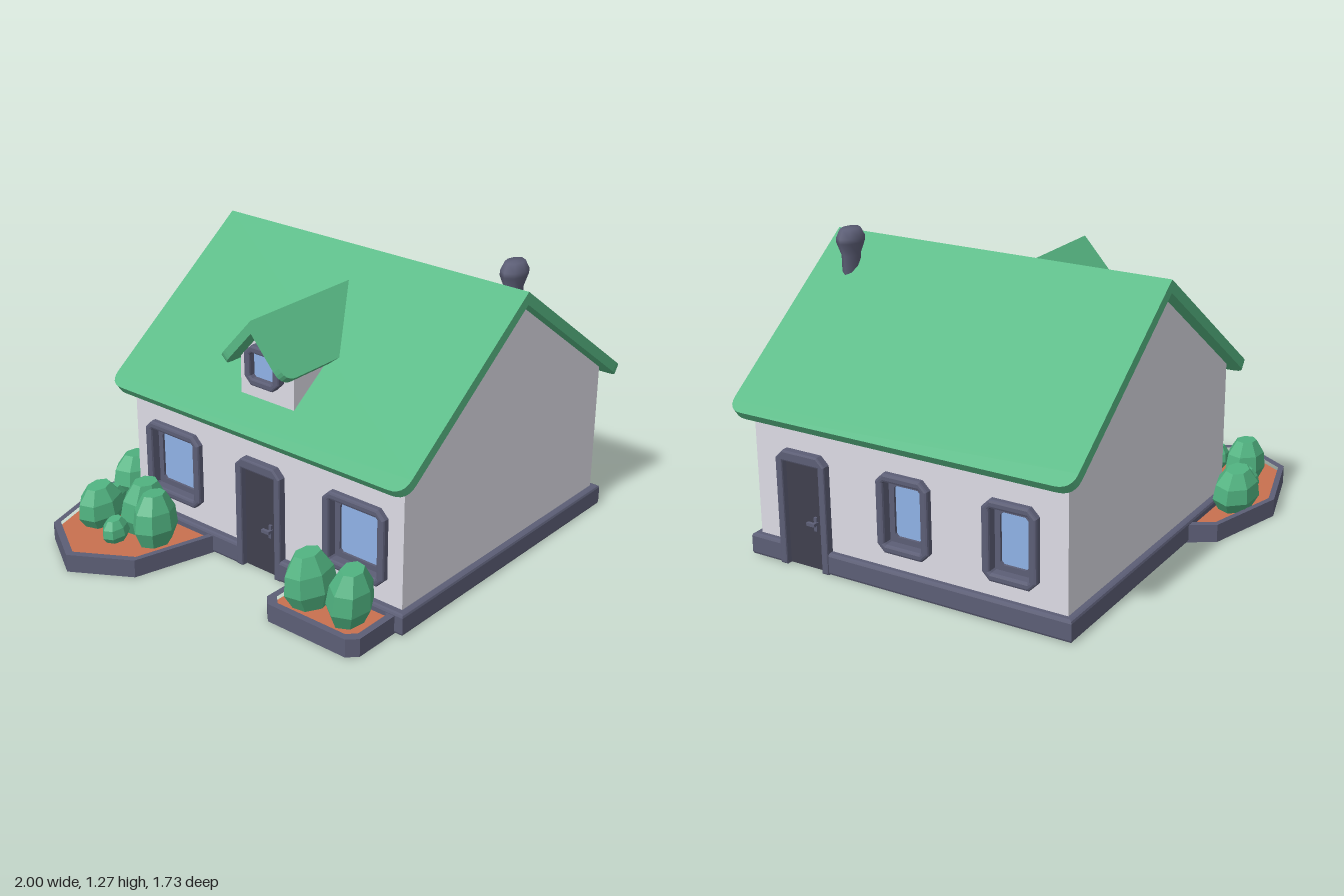
import * as THREE from 'three';

const mat = (name, color, extra = {}) => Object.assign(new THREE.MeshStandardMaterial({ color, ...extra }), { name });

export function createModel() {
  const wallM = mat('plaster', 0xdcdbe4);
  const roofM = mat('roofGreen', 0x58b985);
  const stoneM = mat('slate', 0x5c5e76);
  const doorM = mat('darkDoor', 0x40404e);
  const soilM = mat('soil', 0xc8704f);
  const glassM = mat('glass', 0x8fb2e6);
  const leafM = mat('leafGreen', 0x50b280, { flatShading: true });

  const house = new THREE.Group();
  house.name = 'house';
  const add = (parent, name, geo, material, x = 0, y = 0, z = 0) => {
    const m = new THREE.Mesh(geo, material);
    m.name = name;
    m.position.set(x, y, z);
    parent.add(m);
    return m;
  };
  const group = (parent, name, x = 0, y = 0, z = 0, ry = 0) => {
    const g = new THREE.Group();
    g.name = name;
    g.position.set(x, y, z);
    g.rotation.y = ry;
    parent.add(g);
    return g;
  };
  const poly = pts => new THREE.Shape(pts.map(p => new THREE.Vector2(...p)));
  const extrude = (shape, depth, bevel = 0) => new THREE.ExtrudeGeometry(shape, {
    depth: depth - bevel, bevelEnabled: bevel > 0, bevelSize: bevel, bevelThickness: bevel,
    bevelOffset: -bevel, bevelSegments: 2, curveSegments: 6,
  });
  // rectangle with cut corners, centred on (cx, cy)
  const cutRect = (w, h, c, cx = 0, cy = 0) => {
    const a = w / 2, b = h / 2;
    return [[-a + c, -b], [a - c, -b], [a, -b + c], [a, b - c], [a - c, b], [-a + c, b], [-a, b - c], [-a, -b + c]]
      .map(([x, y]) => [x + cx, y + cy]);
  };
  const ring = (outer, inner) => {
    const s = poly(outer);
    s.holes.push(poly(inner));
    return s;
  };

  // Gabled roof: two mitred slabs, ridge along z, ridge top at the origin
  function gableRoof(parent, name, run, rise, length, t, r) {
    const g = group(parent, name);
    const L = Math.hypot(run, rise), c = run / L, s = rise / L, h = length / 2;
    const shape = new THREE.Shape();
    shape.moveTo(0, -h);
    shape.lineTo(L - r, -h);
    shape.quadraticCurveTo(L, -h, L, -h + r);
    shape.lineTo(L, h - r);
    shape.quadraticCurveTo(L, h, L - r, h);
    shape.lineTo(0, h);
    const geo = extrude(shape, t);
    geo.translate(0, 0, -t);
    const p = geo.attributes.position;
    for (let i = 0; i < p.count; i++) {
      if (p.getX(i) < 1e-4) p.setX(i, -p.getZ(i) * s / c);
    }
    geo.applyMatrix4(new THREE.Matrix4().makeBasis(
      new THREE.Vector3(c, -s, 0), new THREE.Vector3(0, 0, -1), new THREE.Vector3(s, c, 0)));
    geo.computeVertexNormals();
    add(g, name + 'SlopeA', geo, roofM);
    add(g, name + 'SlopeB', geo, roofM).rotation.y = Math.PI;
    return g;
  }

  // Window facing +z: deep frame, sash and pane
  function addWindow(parent, x, y, w, h, b = 0.035, sash = 0.024) {
    const g = group(parent, 'window', x, y);
    const iw = w - 2 * b, ih = h - 2 * b;
    add(g, 'windowFrame', extrude(ring(cutRect(w, h, 0.035), cutRect(iw, ih, 0.006)), 0.085, 0.01), stoneM, 0, 0, -0.055);
    add(g, 'windowSash', extrude(ring(cutRect(iw, ih, 0.002), cutRect(iw - 2 * sash, ih - 2 * sash, 0.012)), 0.02), stoneM, 0, 0, -0.035);
    add(g, 'windowPane', new THREE.BoxGeometry(iw, ih, 0.008), glassM, 0, 0, -0.03);
  }

  // Door facing +z: frame, leaf and handle
  function addDoor(parent, x) {
    const g = group(parent, 'door', x);
    add(g, 'doorFrame', extrude(poly([[-0.12, 0], [-0.12, 0.465], [-0.085, 0.5], [0.085, 0.5], [0.12, 0.465], [0.12, 0],
      [0.088, 0], [0.088, 0.455], [-0.088, 0.455], [-0.088, 0]]), 0.036, 0.007), stoneM);
    add(g, 'doorLeaf', new THREE.BoxGeometry(0.18, 0.458, 0.012), doorM, 0, 0.229, 0);
    add(g, 'handlePlate', new THREE.BoxGeometry(0.014, 0.06, 0.01), stoneM, 0.05, 0.2, 0.01);
    add(g, 'handleLever', new THREE.BoxGeometry(0.04, 0.014, 0.014), stoneM, 0.042, 0.205, 0.03);
    add(g, 'handleStem', new THREE.BoxGeometry(0.012, 0.012, 0.03), stoneM, 0.055, 0.205, 0.02);
  }

  // Long walls with their openings
  function sideWall(name, x, ry, doorX, windows, w) {
    const g = group(house, name, x, 0, 0.09, ry);
    const s = poly([[-0.72, 0.05], [0.72, 0.05], [0.72, 0.66], [-0.72, 0.66]]);
    windows.forEach(wx => s.holes.push(poly(cutRect(w - 0.03, 0.305, 0.02, wx, 0.333))));
    add(g, name + 'Panel', extrude(s, 0.06), wallM, 0, 0, -0.06);
    windows.forEach(wx => addWindow(g, wx, 0.333, w, 0.335));
    addDoor(g, doorX);
  }
  sideWall('leftWall', 0.9, Math.PI / 2, -0.48, [0, 0.48], 0.24);
  sideWall('rightWall', -0.46, -Math.PI / 2, 0, [-0.49, 0.49], 0.31);

  // Gable walls
  const gable = extrude(poly([[-0.68, 0.05], [0.68, 0.05], [0.68, 0.67], [0, 1.175], [-0.68, 0.67]]), 0.05);
  add(house, 'frontGable', gable, wallM, 0.22, 0, 0.76);
  add(house, 'backGable', gable, wallM, 0.22, 0, -0.63);

  // Plinth with a notch at each door
  const plinth = extrude(poly([
    [-0.495, 0.66], [-0.495, 0.01], [-0.455, 0.01], [-0.455, -0.19], [-0.495, -0.19], [-0.495, -0.84],
    [0.93, -0.84], [0.93, -0.67], [0.895, -0.67], [0.895, -0.47], [0.93, -0.47], [0.93, 0.66]]), 0.082, 0.012);
  plinth.translate(0, 0, 0.012).rotateX(-Math.PI / 2);
  plinth.computeBoundingBox();
  plinth.translate(0, -plinth.boundingBox.min.y, 0);
  add(house, 'plinth', plinth, stoneM);

  // Main roof
  gableRoof(house, 'roof', 0.775, 0.57, 1.56, 0.043, 0.07).position.set(0.22, 1.22, 0.09);

  // Dormer
  const dormer = group(house, 'dormer', -0.42, 0, 0.087, -Math.PI / 2);
  add(dormer, 'dormerWall', extrude(poly([[-0.14, 0.6], [0.14, 0.6], [0.14, 0.925], [0, 1.08], [-0.14, 0.925]]), 0.42), wallM, 0, 0, -0.42);
  gableRoof(dormer, 'dormerRoof', 0.182, 0.205, 0.6, 0.036, 0.06).position.set(0, 1.12, -0.21);
  const dormerWindow = group(dormer, 'dormerWindow', 0, 0.9, 0.004);
  add(dormerWindow, 'dormerFrame', extrude(ring(cutRect(0.18, 0.17, 0.035), cutRect(0.12, 0.11, 0.01)), 0.034, 0.007), stoneM);
  add(dormerWindow, 'dormerPane', new THREE.BoxGeometry(0.13, 0.12, 0.006), glassM, 0, 0, 0.001);

  // Chimney
  const chimney = add(house, 'chimney', new THREE.LatheGeometry(
    [[0.046, 1.0], [0.048, 1.16], [0.072, 1.215], [0.072, 1.235], [0.052, 1.27], [0, 1.27]].map(p => new THREE.Vector2(...p)), 8), stoneM, 0.363, 0, 0.705);
  chimney.scale.z = 0.7;

  // Planting beds: rim and soil from one outline
  function bed(name, outer, inner) {
    const flip = pts => pts.map(([x, z]) => [x, -z]);
    const rim = extrude(ring(flip(outer), flip(inner)), 0.079);
    const soil = extrude(poly(flip(inner)), 0.062);
    add(house, name + 'Rim', rim.rotateX(-Math.PI / 2), stoneM);
    add(house, name + 'Soil', soil.rotateX(-Math.PI / 2), soilM);
  }
  const octagon = (rx, rz) => Array.from({ length: 8 }, (_, i) => {
    const a = i * Math.PI / 4;
    return [-0.49 + rx * Math.cos(a), -0.515 + rz * Math.sin(a)];
  });
  bed('cornerBed', octagon(0.51, 0.35), octagon(0.475, 0.325));
  bed('smallBed', cutRect(0.3, 0.47, 0.04, -0.595, 0.565), cutRect(0.24, 0.41, 0.035, -0.595, 0.565));

  // Faceted bushes: x, z, radius, height
  const bushGeo = new THREE.LatheGeometry(
    [[0, 0], [0.7, 0], [1, 0.32], [0.9, 0.68], [0.5, 1], [0, 1]].map(p => new THREE.Vector2(...p)), 7);
  [[-0.68, -0.64, 0.1, 0.18], [-0.56, -0.71, 0.06, 0.1], [-0.38, -0.73, 0.11, 0.18], [-0.75, -0.48, 0.06, 0.1],
    [-0.61, -0.46, 0.1, 0.23], [-0.66, -0.34, 0.1, 0.22], [-0.6, 0.475, 0.105, 0.23], [-0.6, 0.66, 0.105, 0.23]]
    .forEach(([x, z, r, h], i) => {
      const b = add(house, 'bush', bushGeo, leafM, x, 0.06, z);
      b.scale.set(r * 1.15, h, r * 0.85);
      b.rotation.set(0.08 * Math.sin(i * 2), 0.25 * Math.sin(i * 3), 0.08 * Math.cos(i * 2));
    });

  return house;
}
